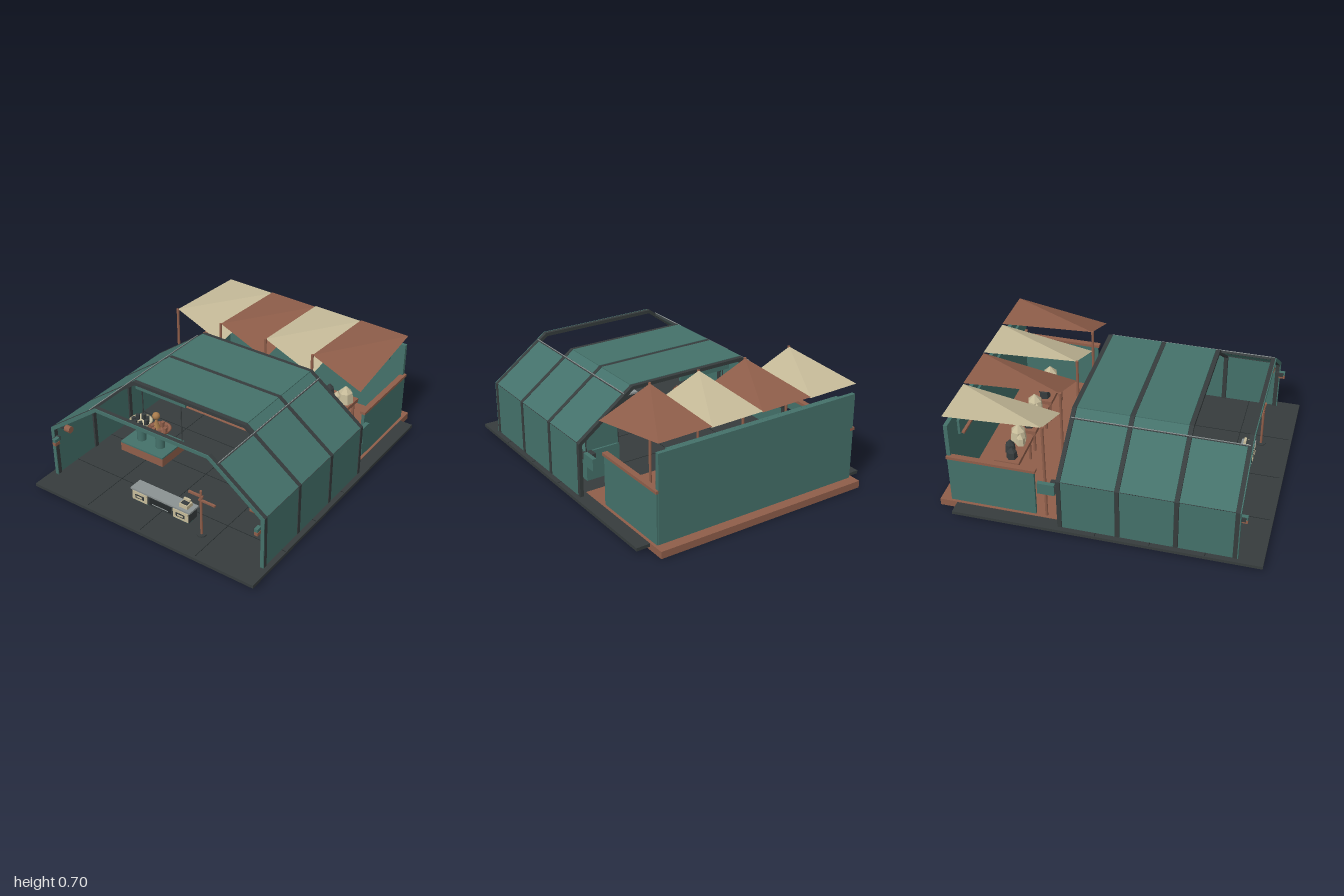
import * as THREE from 'three';
import { RoundedBoxGeometry } from 'three/addons/geometries/RoundedBoxGeometry.js';

const mat = (name, color, side = THREE.FrontSide) => {
  const m = new THREE.MeshStandardMaterial({ color, side });
  m.name = name;
  return m;
};

export function createModel() {
  const root = new THREE.Group();
  root.name = 'marketTent';
  const teal = mat('teal', 0x44716a);
  const dark = mat('charcoal', 0x363c3d);
  const black = mat('seam', 0x24292a);
  const brown = mat('terracotta', 0x8f5e4a, THREE.DoubleSide);
  const cream = mat('cream', 0xc6bb99, THREE.DoubleSide);
  const grey = mat('grey', 0x8b9292);
  const tan = mat('tan', 0xa87b4c);

  const group = (name, x = 0, y = 0, z = 0) => {
    const g = new THREE.Group();
    g.name = name;
    g.position.set(x, y, z);
    root.add(g);
    return g;
  };
  const add = (name, geo, m, x, y, z, parent = root) => {
    const mesh = new THREE.Mesh(geo, m);
    mesh.name = name;
    mesh.position.set(x, y, z);
    parent.add(mesh);
    return mesh;
  };
  // box given by its extents
  const box = (name, m, x0, x1, y0, y1, z0, z1, parent = root) =>
    add(name, new THREE.BoxGeometry(x1 - x0, y1 - y0, z1 - z0), m, (x0 + x1) / 2, (y0 + y1) / 2, (z0 + z1) / 2, parent);
  const cyl = (name, m, r, y0, y1, x, z, parent = root, sides = 10) =>
    add(name, new THREE.CylinderGeometry(r, r, y1 - y0, sides), m, x, (y0 + y1) / 2, z, parent);

  // floor slabs and tile seams
  box('tentFloor', dark, -0.805, 0.805, 0.022, 0.042, -0.89, 1);
  box('rearDeck', brown, -0.717, 0.717, 0, 0.045, -1, -0.2);
  box('rearDeckUnderlay', brown, -0.717, 0.717, 0, 0.022, -0.2, -0.1);
  for (const x of [-0.4, 0, 0.4]) box('floorSeam', black, x - 0.002, x + 0.002, 0.041, 0.043, -0.2, 0.98);
  for (const z of [0, 0.33, 0.66]) box('floorSeam', black, -0.8, 0.8, 0.041, 0.043, z - 0.002, z + 0.002);

  // arched ribs
  const outer = [[0.775, 0.04], [0.775, 0.388], [0.405, 0.662]];
  const inner = [[0.752, 0.04], [0.752, 0.376], [0.397, 0.64]];
  const mirror = (p) => [...p].reverse().map(([x, y]) => [-x, y]);
  const rib = (name, m, z, depth) => {
    const pts = [...outer, ...mirror(outer), ...[...mirror(inner)].reverse().map((p) => p), ...[]];
    const loop = [...outer, ...mirror(outer), ...inner.map(([x, y]) => [-x, y]), ...[...inner].reverse()];
    const shape = new THREE.Shape((pts.length ? loop : pts).map(([x, y]) => new THREE.Vector2(x, y)));
    add(name, new THREE.ExtrudeGeometry(shape, { depth, bevelEnabled: false }), m, 0, 0, z - depth / 2);
  };
  for (const z of [0.832, 0.482, 0.132, -0.22]) rib('rib', dark, z, 0.026);
  rib('frontRibTrim', teal, 0.848, 0.006);

  // wall, slope and roof panels for the three bays
  const slopePanel = (s, x0, y0, x1, y1, za, zb) => {
    const len = Math.hypot(x1 - x0, y1 - y0);
    const p = add('slopePanel', new THREE.BoxGeometry(len, 0.01, zb - za), teal, s * (x0 + x1) / 2, (y0 + y1) / 2, (za + zb) / 2);
    p.rotation.z = s * Math.atan2(y1 - y0, x1 - x0);
  };
  [[0.497, 0.818], [0.147, 0.467], [-0.205, 0.117]].forEach(([za, zb], i) => {
    for (const s of [-1, 1]) {
      const w = box('wallPanel', teal, -0.005, 0.005, 0.042, 0.388, za, zb);
      w.position.x = s * 0.767;
      const end = i === 0 ? [0.46, 0.614] : [0.402, 0.656];
      slopePanel(s, 0.769, 0.386, end[0], end[1], za, zb);
    }
    if (i > 0) box('roofPanel', teal, -0.404, 0.404, 0.653, 0.664, za, zb);
  });
  // purlins along the tent
  for (const s of [-1, 1]) {
    for (const [x, y] of [[0.455, 0.617], [0.765, 0.386]]) {
      const p = add('purlin', new THREE.BoxGeometry(0.012, 0.014, 1.06), dark, s * x, y, 0.305);
      p.rotation.z = s * -0.63;
    }
    add('purlinStrip', new THREE.BoxGeometry(0.004, 0.004, 1.06), grey, s * 0.459, 0.626, 0.305);
  }

  // rear yard walls and rails
  box('backWall', teal, -0.692, 0.692, 0.045, 0.6, -0.935, -0.91);
  for (const s of [-1, 1]) {
    const side = group('sideWall', s * 0.69);
    box('sidePanel', teal, -0.01, 0.01, 0.045, 0.362, -0.93, -0.39, side);
    box('sideRail', brown, -0.018, 0.018, 0.362, 0.38, -0.935, -0.38, side);
  }
  // long sign and lamps on the back wall
  box('signBoard', teal, -0.605, 0.605, 0.485, 0.585, -0.885, -0.87);
  for (const x of [-0.5, 0, 0.5]) {
    box('signBracket', dark, x - 0.01, x + 0.01, 0.52, 0.54, -0.912, -0.884);
    box('lampBar', brown, x - 0.085, x + 0.085, 0.478, 0.49, -0.888, -0.852);
    box('lampTube', dark, x - 0.07, x + 0.07, 0.469, 0.479, -0.882, -0.858);
  }

  // shade sails, each twisted down at one front corner, with their posts
  [-0.692, -0.346, 0, 0.346].forEach((x, i) => {
    cyl('sailPost', brown, 0.009, 0.045, 0.703, x, -0.325);
    const a = [x, 0.7, -0.328], b = [x, 0.666, -0.937], c = [x + 0.346, 0.66, -0.937], d = [x + 0.346, 0.555, -0.328];
    const geo = new THREE.BufferGeometry();
    geo.setAttribute('position', new THREE.Float32BufferAttribute([a, c, b, a, d, c].flat(), 3));
    geo.computeVertexNormals();
    add('shadeSail', geo, i % 2 ? brown : cream, 0, 0, 0);
  });

  // rock tables under the sails
  const rock = (name, m, g, x, r, h, z) => {
    const body = new THREE.CylinderGeometry(r * 0.85, r, h * 0.6, 6).toNonIndexed();
    const tip = new THREE.ConeGeometry(r * 0.85, h * 0.4, 6).toNonIndexed();
    for (const q of [body, tip]) q.computeVertexNormals();
    add(name, body, m, x, 0.215 + h * 0.3, z, g).rotation.y = x * 9;
    add(name + 'Tip', tip, m, x, 0.215 + h * 0.8, z, g).rotation.y = x * 9;
  };
  for (const x of [-0.33, 0, 0.33]) {
    const t = group('rockTable', x, 0, -0.65);
    box('tableTop', brown, -0.145, 0.145, 0.19, 0.215, -0.08, 0.08, t);
    for (const sx of [-1, 1]) for (const sz of [-1, 1]) cyl('tableLeg', brown, 0.01, 0.045, 0.19, sx * 0.12, sz * 0.06, t, 8);
    rock('darkRock', dark, t, -0.09, 0.036, 0.075, 0.02);
    rock('darkRock', dark, t, -0.035, 0.035, 0.09, -0.01);
    rock('creamRock', cream, t, 0.09, 0.055, 0.12, 0);
    rock('creamRock', cream, t, 0.045, 0.03, 0.08, 0.03);
  }

  // podium with two bowls and a hanging board
  const pod = group('bowlPodium', -0.433, 0, 0.31);
  box('podiumBase', brown, -0.167, 0.167, 0.042, 0.1, -0.115, 0.115, pod);
  box('podiumTop', teal, -0.167, 0.167, 0.1, 0.11, -0.115, 0.115, pod);
  const bowl = [[0.012, 0], [0.035, 0.012], [0.065, 0.038], [0.078, 0.055], [0.07, 0.055], [0.04, 0.025], [0, 0.02]];
  [[-0.072, cream], [0.078, brown]].forEach(([x, m], k) => {
    cyl('pedestal', teal, 0.03, 0.11, 0.205, x, 0.02, pod, 14);
    add('bowl', new THREE.LatheGeometry(bowl.map(([r, y]) => new THREE.Vector2(r, y)), 18), m, x, 0.198, 0.02, pod);
    for (let i = 0; i < 7; i++) {
      const ang = i * 0.9;
      const f = box('bowlPiece', k ? brown : dark, -0.011, 0.011, 0.235, 0.272, -0.011, 0.011, pod);
      f.position.x = x + Math.cos(ang) * 0.045;
      f.position.z = 0.02 + Math.sin(ang) * 0.045;
      f.rotation.y = ang;
    }
  });
  add('tanFigure', new THREE.ConeGeometry(0.026, 0.08, 8), tan, 0.055, 0.285, 0.02, pod);
  add('tanFigureTop', new THREE.SphereGeometry(0.025, 10, 8), tan, 0.055, 0.335, 0.02, pod);
  for (const x of [-0.15, 0.16]) cyl('boardPost', dark, 0.004, 0.11, 0.39, x, -0.1, pod, 6);
  box('hangingBoard', teal, -0.197, 0.197, 0.385, 0.44, -0.107, -0.093, pod);
  box('boardLamp', dark, -0.13, 0.13, 0.442, 0.456, -0.115, -0.085, pod);

  // low front counter
  box('counterBody', dark, -0.21, 0.21, 0.055, 0.125, 0.705, 0.785);
  box('counterTop', grey, -0.22, 0.22, 0.125, 0.137, 0.7, 0.79);
  for (const s of [-1, 1]) {
    const c = group('counterPanel', s * 0.152, 0, 0);
    box('panelPlate', cream, -0.055, 0.055, 0.06, 0.122, 0.785, 0.791, c);
    box('panelSlot', dark, -0.032, 0.032, 0.078, 0.104, 0.791, 0.793, c);
    box('panelGrip', cream, -0.02, 0.02, 0.086, 0.096, 0.793, 0.796, c);
    box('counterFoot', teal, -0.05, 0.05, 0.042, 0.055, 0.715, 0.775, c);
  }
  box('counterVent', black, -0.08, 0.08, 0.068, 0.115, 0.785, 0.788);
  box('counterInset', grey, -0.06, 0.06, 0.074, 0.08, 0.788, 0.79);
  box('tillBody', cream, 0.13, 0.19, 0.137, 0.162, 0.718, 0.772);
  box('tillScreen', dark, 0.138, 0.182, 0.162, 0.166, 0.735, 0.765);
  box('tillTop', cream, 0.135, 0.18, 0.166, 0.18, 0.72, 0.735);

  // front signpost
  cyl('signPost', brown, 0.008, 0.042, 0.36, 0.32, 0.81);
  box('signArm', brown, 0.235, 0.335, 0.315, 0.328, 0.804, 0.816);
  box('signArm', brown, 0.305, 0.42, 0.288, 0.3, 0.804, 0.816);
  cyl('signFoot', dark, 0.03, 0.042, 0.05, 0.32, 0.81);

  // storage unit with tool board
  const unit = group('storageUnit', 0.525, 0, 0);
  box('unitBody', teal, -0.115, 0.115, 0.042, 0.235, -0.08, 0.08, unit);
  box('unitDrawer', dark, -0.105, 0.105, 0.175, 0.225, 0.08, 0.087, unit);
  for (const s of [-1, 1]) {
    add('unitDoor', new RoundedBoxGeometry(0.1, 0.105, 0.009, 2, 0.004), cream, s * 0.053, 0.118, 0.084, unit);
    box('doorHandle', dark, s * 0.053 - 0.02, s * 0.053 + 0.02, 0.142, 0.149, 0.088, 0.094, unit);
    cyl('boardPost', dark, 0.005, 0.235, 0.42, s * 0.11, -0.07, unit, 6);
  }
  box('toolBoard', teal, -0.108, 0.108, 0.24, 0.412, -0.076, -0.066, unit);
  box('toolRail', brown, -0.115, 0.115, 0.412, 0.422, -0.08, -0.06, unit);
  box('toolShelf', brown, -0.11, 0.11, 0.295, 0.305, -0.07, -0.02, unit);
  for (let i = 0; i < 4; i++) {
    const x = -0.08 + i * 0.055;
    box('tool', i % 2 ? brown : dark, x - 0.009, x + 0.009, 0.36, 0.375, -0.066, -0.055, unit);
  }
  cyl('viseStem', dark, 0.01, 0.235, 0.3, 0, 0.02, unit);
  box('viseJaw', dark, -0.06, 0.06, 0.265, 0.278, 0.01, 0.03, unit);

  // ceiling unit
  add('ceilingUnit', new RoundedBoxGeometry(0.62, 0.066, 0.12, 3, 0.015), teal, 0, 0.578, 0.13);
  box('ceilingPlate', dark, -0.25, 0.25, 0.611, 0.626, 0.09, 0.17);
  for (const x of [-0.2, 0.2]) box('ceilingHanger', dark, x - 0.008, x + 0.008, 0.625, 0.655, 0.12, 0.14);

  // corner lamps and rear side boxes, mirrored
  for (const s of [-1, 1]) {
    const f = group('frontLamp', s * 0.735, 0, 0);
    box('lampArm', dark, -0.012, 0.012, 0.305, 0.332, 0.83, 0.875, f);
    box('lampGrip', brown, -0.004, 0.02, 0.288, 0.31, 0.845, 0.885, f);
    box('lampCap', teal, -0.004, 0.02, 0.312, 0.333, 0.845, 0.885, f);
    const l = add('lampDrum', new THREE.CylinderGeometry(0.022, 0.022, 0.04, 12), brown, -s * 0.058, 0.385, 0.8, f);
    l.rotation.z = Math.PI / 2;
    box('lampMount', dark, -0.035, 0.012, 0.375, 0.395, 0.79, 0.81, f).position.x = -s * 0.02;
    const r = group('rearBox', s * 0.742, 0, 0);
    box('rearBoxBody', teal, -0.013, 0.013, 0.26, 0.336, -0.355, -0.25, r);
    box('rearBoxMount', dark, -0.012, 0.012, 0.29, 0.33, -0.25, -0.225, r);
    box('rearHinge', dark, -0.015, 0.015, 0.26, 0.33, -0.285, -0.23, r).position.x = -s * 0.036;
  }
  return root;
}
